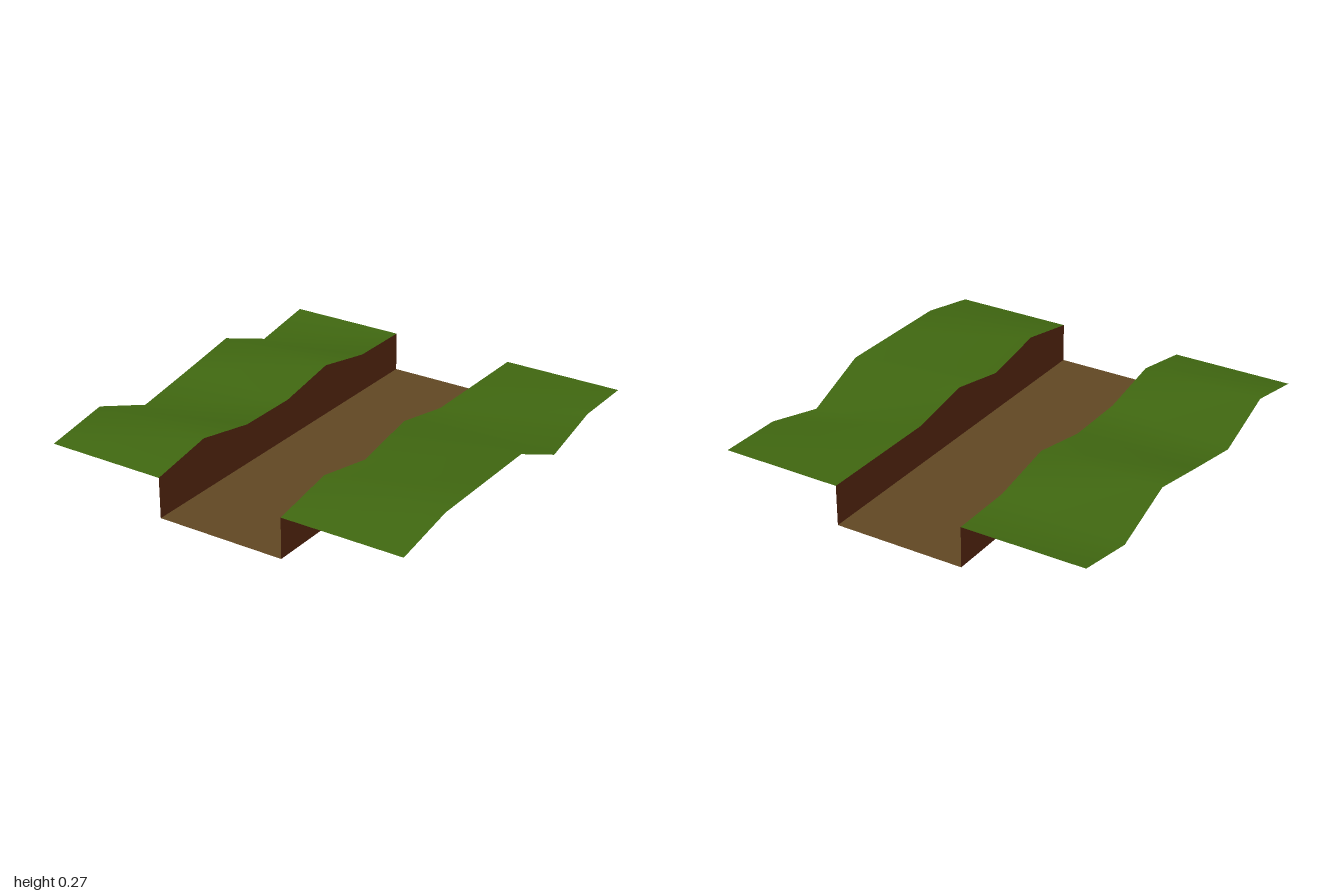
import * as THREE from 'three';

// Heights along the banks in equal steps from back (z = -1) to front (z = 1)
const LOW = 0.205, HIGH = 0.267;
const leftOuter = [LOW, 0.146, HIGH, LOW, 0.146, HIGH, LOW];
const leftInner = [LOW, LOW, HIGH, LOW, LOW, HIGH, LOW];
const rightInner = [LOW, LOW, LOW, HIGH, LOW, HIGH, LOW];
const rightOuter = [LOW, LOW, 0.125, HIGH, HIGH, HIGH, LOW];
const ground = new Array(7).fill(0);

const OUTER = 0.96, INNER = 0.335;

// Ribbon running back to front between two edge lines, each given as x and heights
function ribbon(name, material, xA, heightsA, xB, heightsB) {
  const steps = heightsA.length - 1;
  const geometry = new THREE.PlaneGeometry(1, 1, 1, steps);
  const pos = geometry.attributes.position;
  for (let i = 0; i <= steps; i++) {
    const z = -1 + (2 * i) / steps;
    pos.setXYZ(i * 2, xA, heightsA[i], z);
    pos.setXYZ(i * 2 + 1, xB, heightsB[i], z);
  }
  geometry.computeVertexNormals();
  const mesh = new THREE.Mesh(geometry, material);
  mesh.name = name;
  return mesh;
}

function flatColour(name, color) {
  const material = new THREE.MeshStandardMaterial({ color, side: THREE.DoubleSide });
  material.name = name;
  return material;
}

export function createModel() {
  const grass = flatColour('grass green', 0x3f6610);
  const soil = flatColour('dark soil', 0x552610);
  const path = flatColour('path brown', 0x604723);

  const group = new THREE.Group();
  group.name = 'sunkenPath';
  group.add(
    // Rolling grass on both sides
    ribbon('leftmostGrass', grass, -OUTER, leftOuter, -INNER, leftInner),
    ribbon('rightmostGrass', grass, INNER, rightInner, OUTER, rightOuter),
    // Earth walls facing the trench
    ribbon('leftmostWall', soil, -INNER, leftInner, -INNER, ground),
    ribbon('rightmostWall', soil, INNER, ground, INNER, rightInner),
    // Trench floor
    ribbon('pathFloor', path, -INNER, ground, INNER, ground)
  );
  return group;
}
